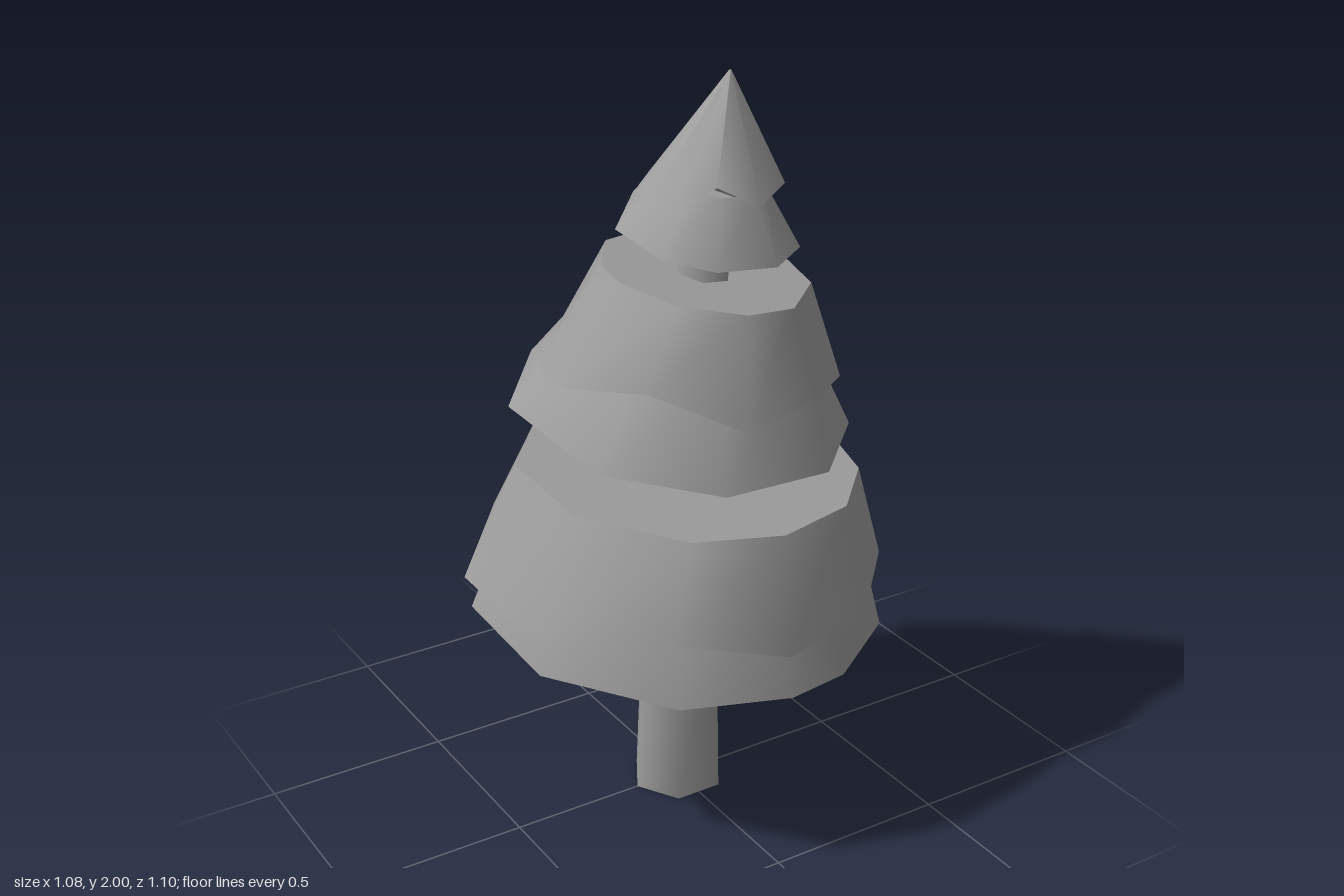
import * as THREE from 'three';

const material = new THREE.MeshStandardMaterial({ color: 0x9d9d9d, side: THREE.DoubleSide });

function mesh(name, points, index) {
  const g = new THREE.BufferGeometry();
  g.setAttribute('position', new THREE.Float32BufferAttribute(points.flat(), 3));
  g.setIndex(index);
  g.computeVertexNormals();
  const m = new THREE.Mesh(g, material);
  m.name = name;
  return m;
}

// Smooth closed wall through rings of equal length, listed from bottom to top
function wall(name, rings) {
  const n = rings[0].length, index = [];
  for (let r = 0; r < rings.length - 1; r++) {
    for (let i = 0; i < n; i++) {
      const a = r * n + i, b = r * n + (i + 1) % n;
      index.push(a, a + n, b, b, a + n, b + n);
    }
  }
  return mesh(name, rings.flat(), index);
}

// Flat lid over a ring, facing up or down
function lid(name, ring, up) {
  const n = ring.length, index = [];
  const centre = [0, 1, 2].map(k => ring.reduce((s, p) => s + p[k], 0) / n);
  for (let i = 0; i < n; i++) {
    const j = (i + 1) % n;
    index.push(n, up ? j : i, up ? i : j);
  }
  return mesh(name, [...ring, centre], index);
}

// Ring of corners at the given angles (degrees, from +x towards +z) around a centre,
// on a plane that rises by slope [x, z]
function ring(angles, [cx, cy, cz], r, [sx, sz] = [0, 0]) {
  return angles.map(deg => {
    const a = THREE.MathUtils.degToRad(deg);
    const dx = r * Math.cos(a), dz = r * Math.sin(a);
    return [cx + dx, cy + sx * dx + sz * dz, cz + dz];
  });
}

// Upper foliage: wavy lower rim, narrowing to a tilted flat top or a fine tip
function foliage(name, { angles, centre: [x, z], radius, heights, top, topRadius, topSlope }) {
  const group = new THREE.Group();
  group.name = name;
  const rim = ring(angles, [x, 0, z], radius).map(([px, , pz], i) => [px, heights[i], pz]);
  const crown = ring(angles, top, topRadius, topSlope);
  group.add(wall(name + 'Side', [rim, crown]), lid(name + 'Top', crown, true));
  return group;
}

// Skirt: rises at right angles to its tilted rim and narrows up into the upper foliage
function skirt(name, { angles, centre: [x, y, z], radius, slope, shrink, rise, closed }) {
  const group = new THREE.Group();
  group.name = name;
  const low = ring(angles, [x, y, z], radius, slope);
  const upper = [x - slope[0] * rise, y + rise, z - slope[1] * rise];
  const high = ring(angles, upper, radius * shrink, slope);
  group.add(wall(name + 'Side', [low, high]));
  if (closed) group.add(lid(name + 'Underside', low, false));
  return group;
}

export function createModel() {
  const tree = new THREE.Group();
  tree.name = 'tree';

  // Six-sided trunk, tapering and leaning slightly
  const hexagon = [0, 60, 120, 180, 240, 300];
  tree.add(wall('trunk', [
    ring(hexagon, [0, 0, 0], .13),
    ring(hexagon, [0, .55, .013], .112),
    ring(hexagon, [.012, 1, .037], .093),
    ring(hexagon, [.03, 1.5, .07], .072),
    ring(hexagon, [.035, 1.66, .078], .066)
  ]));

  // Bottom tier, open underneath
  tree.add(foliage('bottomFoliage', {
    angles: [0, 30, 59, 90, 121, 160, 199, 239, 279, 318],
    heights: [.66, .69, .65, .65, .73, .68, .69, .72, .72, .755],
    centre: [-.015, -.003], radius: .555,
    top: [.015, .975, .025], topRadius: .45, topSlope: [-.045, -.067]
  }));
  tree.add(skirt('bottomSkirt', {
    angles: [-9, 10, 41, 71, 90, 121, 160, 199, 239, 270, 290, 318],
    centre: [-.005, .57, 0], radius: .55, slope: [-.035, -.073],
    shrink: .86, rise: .24, closed: false
  }));

  // Middle tier
  tree.add(foliage('middleFoliage', {
    angles: [-7, 27, 69, 100, 137, 173, 196, 233, 268, 310],
    heights: [1.28, 1.19, 1.24, 1.2, 1.31, 1.27, 1.27, 1.24, 1.28, 1.24],
    centre: [.025, .015], radius: .393,
    top: [.045, 1.5, .06], topRadius: .268, topSlope: [-.11, -.13]
  }));
  tree.add(skirt('middleSkirt', {
    angles: [-10, 28, 65, 107, 148, 197, 240, 281, 317],
    centre: [.005, 1.117, 0], radius: .445, slope: [-.07, -.15],
    shrink: .66, rise: .24, closed: true
  }));

  // Top tier, with its tip leaning to the side
  tree.add(foliage('topFoliage', {
    angles: [2, 44, 82, 117, 148, 167, 184, 213, 248, 279, 305, 332],
    heights: [1.69, 1.74, 1.71, 1.77, 1.72, 1.74, 1.73, 1.7, 1.72, 1.69, 1.72, 1.7],
    centre: [.045, .075], radius: .187,
    top: [.1, 2, .08], topRadius: .003, topSlope: [0, 0]
  }));
  tree.add(skirt('topSkirt', {
    angles: [-5, 40, 75, 116, 149, 192, 252, 302],
    centre: [.045, 1.61, .06], radius: .235, slope: [-.05, -.2],
    shrink: .54, rise: .14, closed: true
  }));

  return tree;
}
